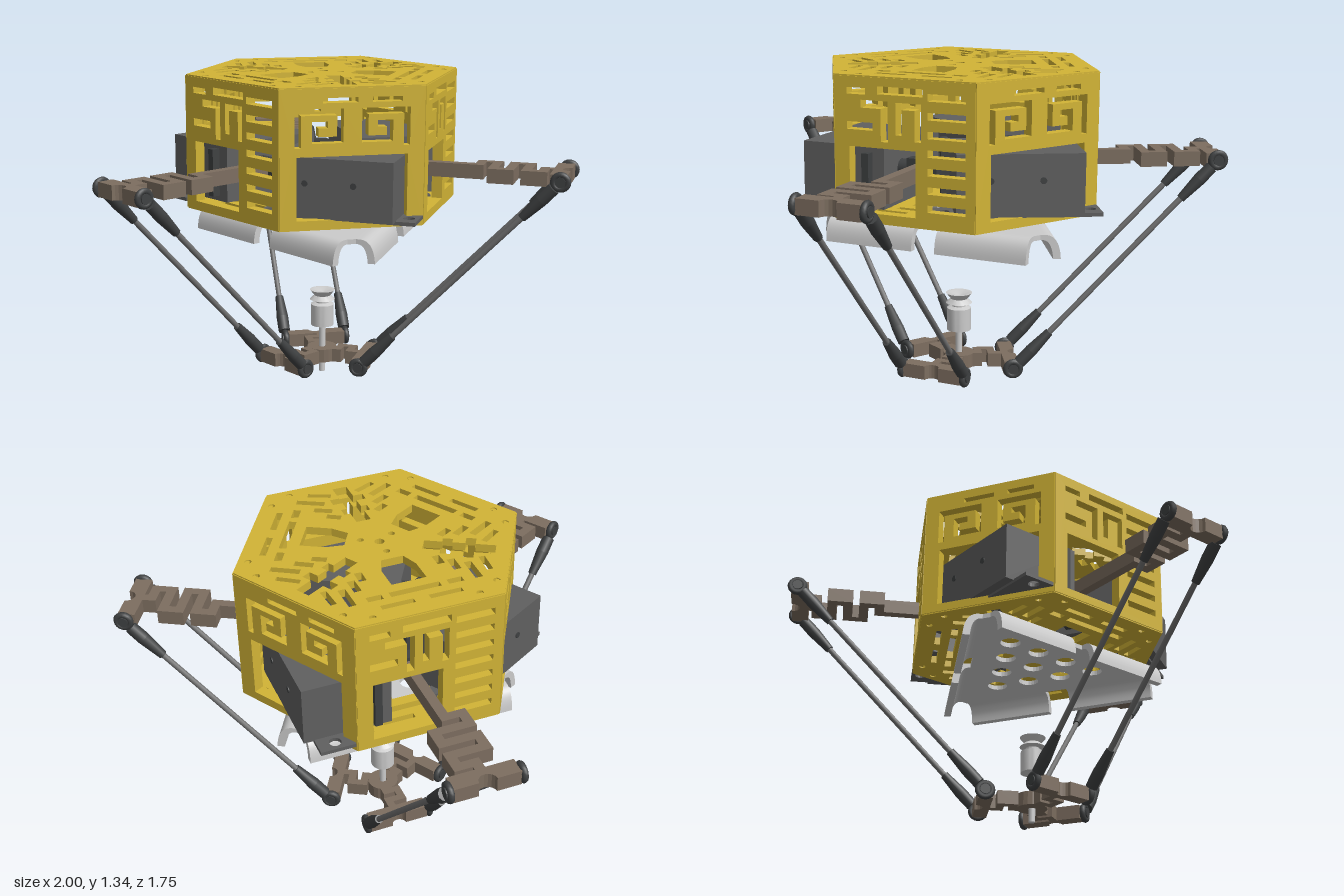
import * as THREE from 'three';
import { toCreasedNormals } from 'three/addons/utils/BufferGeometryUtils.js';

const mat = (color) => new THREE.MeshStandardMaterial({ color });
const YELLOW = mat(0xd2b436), BROWN = mat(0x7d6e60), DARK = mat(0x3f4142);
const SERVO = mat(0x606060), ROD = mat(0x707070), GREY = mat(0xcccccc);
const THIRD = Math.PI * 2 / 3;
const V = (x, y, z) => new THREE.Vector3(x, y, z);

function add(parent, name, geo, material, x = 0, y = 0, z = 0) {
  const m = new THREE.Mesh(geo, material);
  m.name = name;
  m.position.set(x, y, z);
  parent.add(m);
  return m;
}

// Outline of a bent band of constant width, with mitred corners
function band(pts, w) {
  const n = [];
  for (let i = 0; i < pts.length - 1; i++) {
    const dx = pts[i + 1][0] - pts[i][0], dy = pts[i + 1][1] - pts[i][1], l = Math.hypot(dx, dy);
    n.push([-dy / l, dx / l]);
  }
  const left = [], right = [];
  pts.forEach(([x, y], i) => {
    const a = n[Math.max(i - 1, 0)], b = n[Math.min(i, n.length - 1)];
    const k = w / 2 / (1 + a[0] * b[0] + a[1] * b[1]);
    const ox = (a[0] + b[0]) * k, oy = (a[1] + b[1]) * k;
    left.push([x + ox, y + oy]);
    right.unshift([x - ox, y - oy]);
  });
  return left.concat(right);
}
const rect = (x0, y0, x1, y1) => [[x0, y0], [x1, y0], [x1, y1], [x0, y1]];
const circle = (x, y, r, n = 16) => Array.from({ length: n }, (_, i) =>
  [x + r * Math.cos(i * 2 * Math.PI / n), y + r * Math.sin(i * 2 * Math.PI / n)]);
const mirror = (p) => p.map(([x, y]) => [-x, y]);
const turn = (p, a) => p.map(([x, y]) =>
  [x * Math.cos(a) - y * Math.sin(a), x * Math.sin(a) + y * Math.cos(a)]);

function extrude(outline, holes, depth) {
  const toVec = (p) => p.map(([x, y]) => new THREE.Vector2(x, y));
  const s = new THREE.Shape(toVec(outline));
  holes.forEach((h) => s.holes.push(new THREE.Path(toVec(h))));
  return new THREE.ExtrudeGeometry(s, { depth, bevelEnabled: false });
}
// Horizontal plate drawn in x and z, its upper face at y = top
const plate = (outline, holes, depth, top) =>
  extrude(outline, holes, depth).rotateX(Math.PI / 2).translate(0, top, 0);

// Slotted hexagonal plates that close the housing
function hexPlate() {
  const both = (p) => [p, mirror(p)];
  const sector = [
    [[-.045, .13], [.045, .13], [.07, .2], [.07, .3], [-.07, .3], [-.07, .2]],
    rect(-.1, .345, .1, .375),
    ...both(band([[.13, .36], [.19, .36]], .03)),
    ...both(band([[.03, .425], [.16, .425]], .025)),
    ...both(circle(.21, .47, .014, 10)),
    [[-.03, -.17], [.03, -.17], [.03, -.24], [.055, -.24], [.055, -.28], [.03, -.28], [.03, -.33],
      [.07, -.33], [.07, -.37], [.03, -.37], [.03, -.45], [-.03, -.45], [-.03, -.37], [-.07, -.37],
      [-.07, -.33], [-.03, -.33], [-.03, -.28], [-.055, -.28], [-.055, -.24], [-.03, -.24]],
    ...both(band([[.075, -.225], [.125, -.255]], .03)),
    ...both(band([[.09, -.285], [.155, -.32]], .03)),
    ...both(band([[.1, -.35], [.2, -.405]], .03)),
    ...both(band([[.055, -.4], [.14, -.44]], .025)),
    ...both(circle(.21, -.47, .014, 10)),
    circle(0, .075, .014, 10),
  ];
  const holes = [circle(0, 0, .02)];
  for (let k = 0; k < 3; k++) sector.forEach((h) => holes.push(turn(h, k * THIRD)));
  return [circle(0, 0, .586, 6), holes];
}

function housing(g) {
  const [outline, holes] = hexPlate();
  add(g, 'topPlate', plate(outline, holes, .033, 1.337), YELLOW);
  add(g, 'bottomPlate', plate(outline, holes, .033, .803), YELLOW);
  const spiral = band([[-.22, 1.1], [-.22, 1.24], [-.05, 1.24], [-.05, 1.13], [-.15, 1.13], [-.15, 1.19], [-.1, 1.19]], .026);
  const servoHoles = [rect(-.225, .81, .225, 1.065), spiral, mirror(spiral), rect(-.12, 1.275, .02, 1.295), rect(.08, 1.275, .2, 1.295)];
  const armHoles = [
    rect(-.23, .81, .05, 1.065), rect(-.11, 1.27, .08, 1.3),
    band([[-.08, 1.09], [-.08, 1.23], [-.18, 1.23]], .03),
    band([[.06, 1.1], [.06, 1.23], [-.02, 1.23], [-.02, 1.12]], .026),
    rect(-.24, 1.13, -.13, 1.16), rect(-.24, 1.265, -.16, 1.29),
    ...[.85, .92, .99, 1.06, 1.13, 1.2, 1.27].map((y) => rect(.1, y - .014, .255, y + .014)),
  ];
  for (let k = 0; k < 6; k++) {
    const geo = extrude(rect(-.293, .775, .293, 1.332), k % 2 ? servoHoles : armHoles, .045);
    geo.translate(0, 0, .466);
    add(g, k % 2 ? 'servoWall' : 'armWall', geo, YELLOW).rotation.y = k * Math.PI / 3;
  }
}

// Servo with flange, mounting tabs, screws and shaft
function servo(g) {
  add(g, 'servoBody', new THREE.BoxGeometry(.355, .245, .49), SERVO, -.3025, .93, .185);
  add(g, 'servoFlange', new THREE.BoxGeometry(.03, .2, .56), DARK, -.19, .93, .185);
  const tab = plate(rect(-.44, -.14, -.3, .51), [circle(-.37, .47, .024), circle(-.37, -.1, .024)], .015, .812);
  add(g, 'servoTab', tab, SERVO);
  for (const z of [.07, .27])
    add(g, 'servoScrew', new THREE.CylinderGeometry(.013, .013, .006, 12).rotateZ(Math.PI / 2), DARK, -.481, .95, z);
  add(g, 'servoShaft', new THREE.CylinderGeometry(.035, .035, .12, 16).rotateZ(Math.PI / 2), DARK, -.075, .95, .28);
  add(g, 'armClamp', new THREE.BoxGeometry(.13, .09, .05), DARK, -.02, .95, .29);
}

// Crossbar with a half-round notch in its outer edge
function crossbar(half, z0, z1, r) {
  const notch = Array.from({ length: 9 }, (_, i) =>
    [r * Math.cos(i * Math.PI / 8), z1 - r * Math.sin(i * Math.PI / 8)]);
  return [[-half, z0], [half, z0], [half, z1], ...notch, [-half, z1]];
}

function alongLine(parent, name, a, b, ra, rb, sides, material) {
  const d = b.clone().sub(a), c = a.clone().add(b).multiplyScalar(.5);
  const m = add(parent, name, new THREE.CylinderGeometry(rb, ra, d.length(), sides), material, c.x, c.y, c.z);
  m.quaternion.setFromUnitVectors(V(0, 1, 0), d.normalize());
}

// Zigzag upper arm and its pair of ball-jointed rods
function arm(g) {
  const zig = band([[0, .25], [0, .68], [.07, .68], [.07, .747], [-.07, .747], [-.07, .815], [.07, .815],
    [.07, .883], [-.07, .883], [-.07, .95], [0, .95], [0, 1.0]], .04);
  add(g, 'upperArm', plate(zig, [], .06, .98), BROWN);
  add(g, 'armCrossbar', plate(crossbar(.13, .985, 1.055, .035), [], .06, .98), BROWN);
  for (const x of [-.14, .14]) {
    const a = V(x, .953, 1.03), b = V(x, .088, .21);
    const at = (t) => a.clone().lerp(b, t);
    alongLine(g, 'rod', at(.08), at(.92), .012, .012, 12, ROD);
    for (const [p, q, r] of [[a, at(.09), at(.18)], [b, at(.91), at(.82)]]) {
      add(g, 'jointEye', new THREE.TorusGeometry(.029, .013, 8, 20).rotateY(Math.PI / 2), DARK, p.x, p.y, p.z);
      add(g, 'jointBall', new THREE.CylinderGeometry(.021, .021, .03, 14).rotateZ(Math.PI / 2), DARK, p.x, p.y, p.z);
      const neck = p.clone().lerp(q, .35);
      alongLine(g, 'rodEnd', neck, q, .026, .027, 10, DARK);
      alongLine(g, 'rodSleeve', q, r, .027, .018, 10, DARK);
    }
  }
  // One third of the lower platform
  add(g, 'platformArm', plate(band([[0, .03], [0, .08], [.05, .08], [.05, .135], [-.01, .135], [-.01, .19]], .032), [], .058, .116), BROWN);
  add(g, 'platformCrossbar', plate(crossbar(.128, .175, .235, .03), [], .058, .116), BROWN);
}

// Perforated tray with rolled, notched lips
function tray(g) {
  const side = [[.433, .27], [-.433, .27]];
  const outline = [0, 1, 2].flatMap((k) => turn(side, k * THIRD));
  const holes = [];
  for (let r = -3; r <= 3; r++) for (let c = -4; c <= 4; c++) {
    const x = (c + (r % 2 ? .5 : 0)) * .15, z = r * .13;
    const inside = [0, 1, 2].every((k) => turn([[x, z]], k * THIRD)[0][1] < .215);
    if (inside && Math.hypot(x, z) < .46) holes.push(circle(x, z, .043, 20));
  }
  add(g, 'trayPlate', plate(outline, holes, .02, .727), GREY);
  const lip = new THREE.Shape();
  lip.moveTo(.26, .727);
  lip.lineTo(.285, .727);
  lip.quadraticCurveTo(.345, .727, .35, .63);
  lip.lineTo(.32, .63);
  lip.quadraticCurveTo(.315, .707, .275, .707);
  lip.lineTo(.26, .707);
  const geo = toCreasedNormals(new THREE.ExtrudeGeometry(lip, { depth: .383, bevelEnabled: false, curveSegments: 10 })
    .rotateY(-Math.PI / 2), .6);
  for (let k = 0; k < 3; k++) {
    const s = new THREE.Group();
    s.name = 'trayLips';
    s.rotation.y = k * THIRD;
    add(s, 'trayLip', geo, GREY, -.05);
    add(s, 'trayLip', geo, GREY, .433);
    g.add(s);
  }
}

function tool(g) {
  add(g, 'platformHub', plate(circle(0, 0, .065, 20), [circle(0, 0, .016)], .058, .116), BROWN);
  add(g, 'nozzleTube', new THREE.CylinderGeometry(.014, .014, .23, 16), GREY, 0, .115, 0);
  const profile = [[0, .215], [.05, .215], [.05, .31], [.03, .318], [.03, .326], [.055, .332],
    [.035, .35], [.055, .375], [.04, .375], [0, .355]].map(([x, y]) => new THREE.Vector2(x, y));
  add(g, 'suctionCup', toCreasedNormals(new THREE.LatheGeometry(profile, 28), .5), GREY);
}

export function createModel() {
  const model = new THREE.Group();
  model.name = 'deltaRobot';
  const body = new THREE.Group();
  body.name = 'body';
  body.position.set(-.01, 0, -.193);
  model.add(body);
  housing(body);
  tray(body);
  tool(body);
  for (let k = 0; k < 3; k++) {
    const sector = new THREE.Group();
    sector.name = 'armUnit';
    sector.rotation.y = k * THIRD;
    servo(sector);
    const link = new THREE.Group();
    link.name = 'armLinkage';
    link.position.x = -.017;
    arm(link);
    sector.add(link);
    body.add(sector);
  }
  return model;
}
